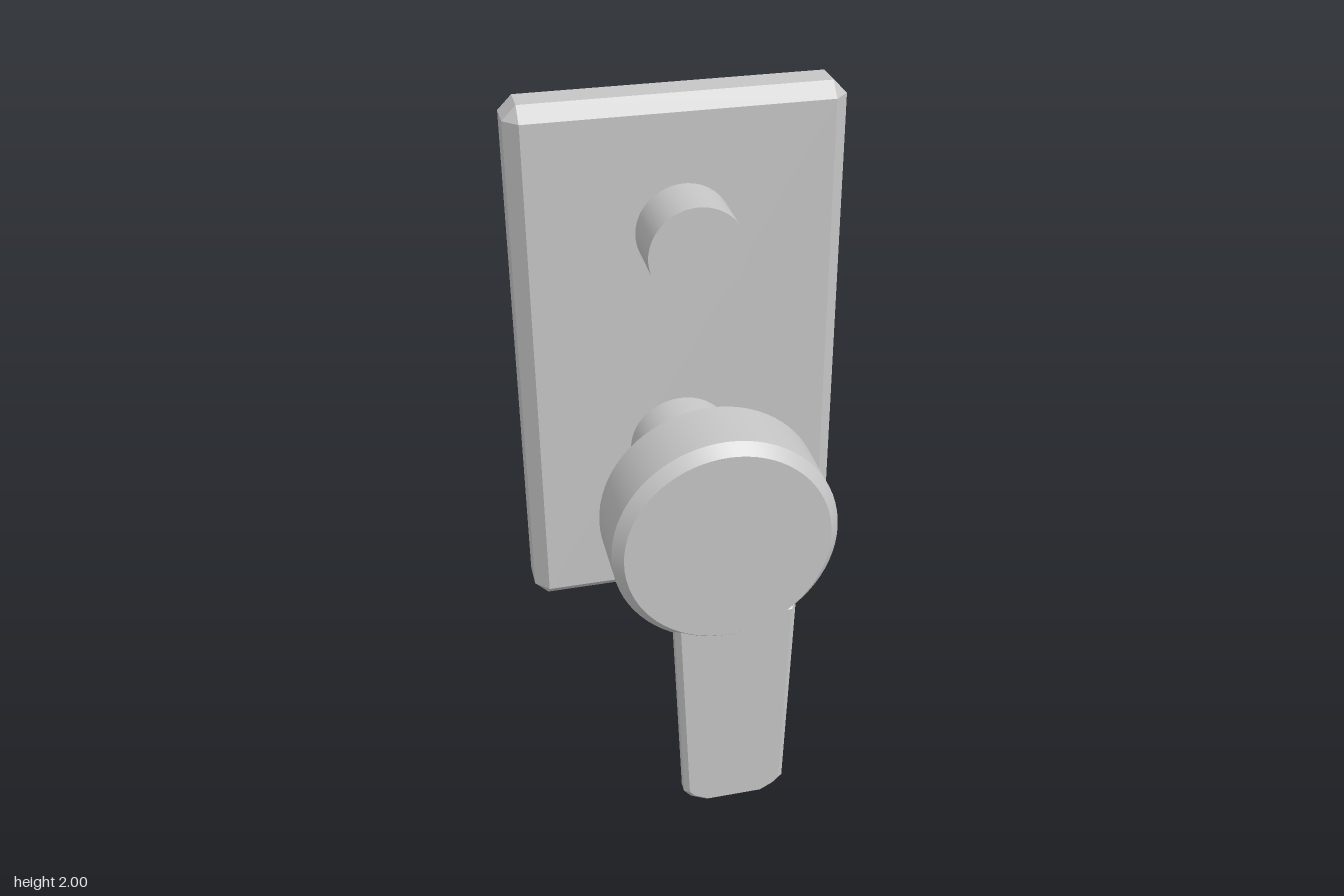
import * as THREE from 'three';
import { toCreasedNormals } from 'three/addons/utils/BufferGeometryUtils.js';
import { ConvexGeometry } from 'three/addons/geometries/ConvexGeometry.js';

export function createModel() {
  const model = new THREE.Group();
  const metal = new THREE.MeshStandardMaterial({ color: 0xc6c6c6 });
  metal.name = 'satin grey metal';

  function add(name, geometry, x, y, z) {
    const mesh = new THREE.Mesh(geometry, metal);
    mesh.name = name;
    mesh.position.set(x, y, z);
    model.add(mesh);
    return mesh;
  }

  // Box with every edge chamfered once
  function chamferedBox(w, h, d, c) {
    const points = [];
    for (const sx of [-1, 1]) for (const sy of [-1, 1]) for (const sz of [-1, 1]) {
      for (let axis = 0; axis < 3; axis++) {
        const inset = [c, c, c];
        inset[axis] = 0;
        points.push(new THREE.Vector3(
          sx * (w / 2 - inset[0]), sy * (h / 2 - inset[1]), sz * (d / 2 - inset[2])));
      }
    }
    return new ConvexGeometry(points);
  }

  // Solid of revolution about z from [radius, z] pairs, back to front
  function turned(profile) {
    const geometry = new THREE.LatheGeometry(profile.map(([r, z]) => new THREE.Vector2(r, z)), 72);
    geometry.rotateX(Math.PI / 2);
    return toCreasedNormals(geometry, 0.5);
  }
  const disc = (r, z0, z1) => turned([[0, z0], [r, z0], [r, z1], [0, z1]]);

  // Wall plate
  add('wallPlate', chamferedBox(0.944, 1.587, 0.167, 0.04), 0, 1.2065, -0.29);

  // Diverter button with its short base
  add('buttonBase', disc(0.1, -0.21, -0.188), 0, 1.635, 0);
  add('button', disc(0.136, -0.176, -0.008), -0.002, 1.635, 0);

  // Handle stem, collar and knob
  add('stem', disc(0.153, -0.215, 0.05), -0.008, 0.933, 0);
  add('collar', disc(0.207, 0.043, 0.135), -0.011, 0.94, 0);
  const knob = add('knob', turned([
    [0, 0.13], [0.288, 0.13], [0.316, 0.16], [0.316, 0.34], [0.288, 0.372], [0, 0.372],
  ]), -0.008, 0.943, 0);
  knob.scale.y = 1.018;

  // Tapered lever with bevelled rim
  const bevel = 0.015;
  const outline = new THREE.Shape([
    [-0.142, 0.7], [-0.118, 0.06], [-0.102, 0.041], [-0.06, 0.02],
    [0.1, 0.02], [0.138, 0.041], [0.156, 0.06], [0.178, 0.7],
  ].map(([x, y]) => new THREE.Vector2(x, y)));
  add('lever', new THREE.ExtrudeGeometry(outline, {
    depth: 0.03, bevelEnabled: true, bevelThickness: bevel, bevelSize: bevel, bevelSegments: 1,
  }), 0, 0, 0.32);

  return model;
}
